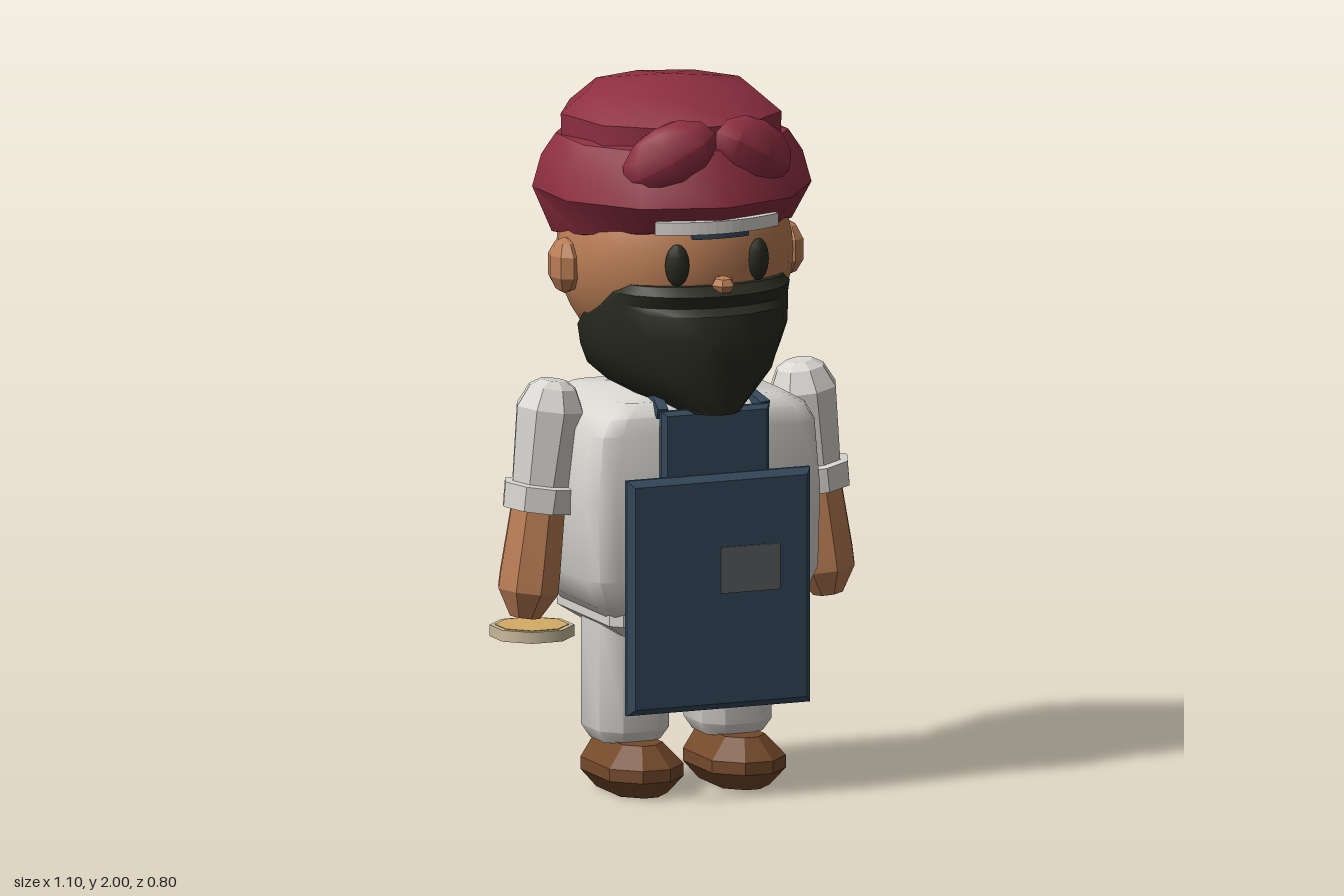
import * as THREE from 'three';
import { toCreasedNormals } from 'three/addons/utils/BufferGeometryUtils.js';

const mat = (name, color) => {
  const m = new THREE.MeshStandardMaterial({ color });
  m.name = name;
  return m;
};

// Closed skin over a stack of rings, ordered bottom to top
function loft(rings, crease = 0.8) {
  const n = rings[0].length, pos = [];
  const tri = (...ps) => ps.forEach((p) => pos.push(...p));
  const mid = (r) => [0, 1, 2].map((k) => r.reduce((s, p) => s + p[k], 0) / n);
  const top = rings[rings.length - 1], c0 = mid(rings[0]), c1 = mid(top);
  for (let i = 0; i < n; i++) {
    const k = (i + 1) % n;
    tri(c0, rings[0][i], rings[0][k]);
    tri(c1, top[k], top[i]);
    for (let j = 0; j + 1 < rings.length; j++) {
      const lo = rings[j], hi = rings[j + 1];
      tri(lo[i], hi[i], hi[k]);
      tri(lo[i], hi[k], lo[k]);
    }
  }
  const g = new THREE.BufferGeometry();
  g.setAttribute('position', new THREE.Float32BufferAttribute(pos, 3));
  return toCreasedNormals(g, crease);
}

// Rectangle with rounded corners at height y
function roundRect(y, hx, hz, cz, r, steps = 2) {
  const pts = [];
  [[1, 1], [-1, 1], [-1, -1], [1, -1]].forEach(([sx, sz], q) => {
    for (let s = 0; s <= steps; s++) {
      const a = (q + s / steps) * Math.PI / 2;
      pts.push([sx * (hx - r) + r * Math.cos(a), y, cz + sz * (hz - r) + r * Math.sin(a)]);
    }
  });
  return pts;
}

// Turned shape from [radius, y] pairs, bottom to top
const turned = (pts, sides, crease = 0.7) => toCreasedNormals(
  new THREE.LatheGeometry(pts.map(([r, y]) => new THREE.Vector2(r, y)), sides), crease);

// Upright slab with chamfered edges
function slab(w, h, d, b) {
  const s = new THREE.Shape();
  const x = w / 2 - b, y = h / 2 - b;
  s.moveTo(-x, -y).lineTo(x, -y).lineTo(x, y).lineTo(-x, y).closePath();
  return new THREE.ExtrudeGeometry(s, { depth: d - 2 * b, bevelEnabled: true, bevelThickness: b, bevelSize: b, bevelSegments: 1 })
    .translate(0, 0, b - d / 2);
}

// Flat curved strip across the brow
function arcBand(r0, r1, half, h) {
  const s = new THREE.Shape();
  s.absarc(0, 0, r1, -Math.PI / 2 - half, -Math.PI / 2 + half, false);
  s.absarc(0, 0, r0, -Math.PI / 2 + half, -Math.PI / 2 - half, true);
  return new THREE.ExtrudeGeometry(s, { depth: h, bevelEnabled: false, curveSegments: 8 }).rotateX(-Math.PI / 2);
}

export function createModel() {
  const white = mat('white cloth', 0xd8d6d1), red = mat('red cloth', 0x8e2f40);
  const skin = mat('skin', 0xba7d55), brown = mat('shoe leather', 0x74492b);
  const dark = mat('beard black', 0x292b20), navy = mat('apron blue', 0x364a5d);
  const grey = mat('pocket grey', 0x5f6265), cream = mat('crust cream', 0xcdbd9f);
  const gold = mat('baked gold', 0xd4ab64);

  const model = new THREE.Group();
  const body = new THREE.Group();
  body.name = 'figure';
  body.position.x = 0.008;
  model.add(body);
  const add = (name, geo, material, x = 0, y = 0, z = 0, parent = body) => {
    const m = new THREE.Mesh(geo, material);
    m.name = name;
    m.position.set(x, y, z);
    parent.add(m);
    return m;
  };

  // Torso and hips
  add('torso', loft([
    roundRect(0.51, 0.27, 0.2, 0.02, 0.05), roundRect(0.55, 0.315, 0.23, 0.02, 0.06),
    roundRect(0.63, 0.35, 0.25, 0.02, 0.07), roundRect(0.85, 0.356, 0.252, 0.02, 0.07),
    roundRect(1.04, 0.34, 0.25, 0.02, 0.07), roundRect(1.09, 0.31, 0.24, 0.02, 0.06),
    roundRect(1.125, 0.25, 0.2, 0.02, 0.05)]), white);
  add('hips', loft([
    roundRect(0.455, 0.22, 0.17, 0.015, 0.03, 1), roundRect(0.495, 0.28, 0.215, 0.015, 0.03, 1),
    roundRect(0.53, 0.28, 0.215, 0.015, 0.03, 1)], 0.4), white);

  // Legs and shoes
  const leg = loft([
    roundRect(0.14, 0.085, 0.09, 0.02, 0.04, 1), roundRect(0.175, 0.105, 0.115, 0.02, 0.05, 1),
    roundRect(0.5, 0.105, 0.115, 0.02, 0.05, 1)], 0.9);
  const shoe = loft([
    roundRect(0, 0.07, 0.135, 0.065, 0.05, 1), roundRect(0.05, 0.112, 0.173, 0.069, 0.07, 1),
    roundRect(0.085, 0.112, 0.173, 0.069, 0.07, 1), roundRect(0.145, 0.06, 0.14, 0.045, 0.04, 1)], 0.5);

  // Arms: sleeve, cuff and forearm share one slanted axis
  const sleeve = turned([[0, -0.24], [0.085, -0.23], [0.1, 0], [0.07, 0.06], [0.038, 0.08], [0, 0.08]], 8, 0.3);
  const cuff = turned([[0, -0.29], [0.105, -0.285], [0.108, -0.215], [0.085, -0.21]], 8, 0.3);
  const forearm = turned([[0, -0.59], [0.045, -0.59], [0.09, -0.515], [0.09, -0.47], [0.08, -0.27]], 8, 0.3);

  for (const [side, s] of [['left', 1], ['right', -1]]) {
    add(side + 'Leg', leg, white, s * 0.155);
    add(side + 'Shoe', shoe, brown, s * 0.155);
    const arm = new THREE.Group();
    arm.name = side + 'Arm';
    arm.position.set(s * 0.382, 1.09, 0.02);
    arm.rotation.z = s * 0.13;
    body.add(arm);
    add(side + 'Sleeve', sleeve, white, 0, 0, 0, arm);
    add(side + 'Cuff', cuff, white, 0, 0, 0, arm);
    add(side + 'Forearm', forearm, skin, 0, 0, 0, arm);

    // Face sides
    const ear = add(side + 'Ear', turned([[0, -0.08], [0.038, -0.065], [0.064, -0.03], [0.064, 0.03], [0.038, 0.065], [0, 0.08]], 8, 0.3),
      skin, s * 0.335, 1.49, 0.015);
    ear.scale.x = 0.7;
    const eye = add(side + 'Eye', new THREE.SphereGeometry(1, 10, 8), dark, s * 0.123, 1.525, 0.312);
    eye.scale.set(0.034, 0.06, 0.022);
    eye.rotation.y = s * 0.36;

    // Cloth knot lobe
    const lobe = add(side + 'KnotLobe', toCreasedNormals(new THREE.SphereGeometry(1, 8, 6), 0.9), red, s * 0.125, 1.82, 0.265);
    lobe.scale.set(0.145, 0.095, 0.075);
    lobe.rotation.set(0, s * 0.25, -s * 0.5);

    // Apron neck strap
    const strap = add(side + 'Strap', new THREE.BoxGeometry(0.03, 0.03, 0.2), navy, s * 0.135, 1.13, 0.19);
    strap.rotation.set(0.3, s * 0.2, 0);
  }

  // Apron
  add('apronSkirt', slab(0.555, 0.665, 0.05, 0.018), navy, 0.002, 0.593, 0.305);
  add('apronBib', slab(0.325, 0.24, 0.04, 0.012), navy, 0, 0.99, 0.287);
  add('pocket', new THREE.BoxGeometry(0.18, 0.13, 0.006), grey, 0.09, 0.655, 0.331);

  // Head
  add('neck', new THREE.CylinderGeometry(0.1, 0.1, 0.26, 8), skin, 0, 1.2, 0.005);
  add('head', new THREE.SphereGeometry(1, 28, 20), skin, 0, 1.51, 0.008).scale.set(0.332, 0.325, 0.322);
  const nose = add('nose', toCreasedNormals(new THREE.SphereGeometry(1, 6, 4), 0.3), skin, 0, 1.468, 0.35);
  nose.scale.set(0.034, 0.026, 0.04);

  // Beard: half-round rows as [y, half width, front z, back z]
  const beardRows = [
    [1.1, 0.09, 0.36, 0.22], [1.115, 0.13, 0.368, 0.1], [1.155, 0.2, 0.375, 0.0], [1.205, 0.255, 0.388, -0.015],
    [1.26, 0.278, 0.393, -0.01], [1.32, 0.295, 0.402, 0.01], [1.385, 0.288, 0.388, 0.065],
    [1.405, 0.285, 0.362, 0.1], [1.44, 0.268, 0.378, 0.16], [1.465, 0.235, 0.345, 0.21]];
  add('beard', loft(beardRows.map(([y, rx, zf, zb]) => Array.from({ length: 13 }, (_, i) => {
    const t = i / 12 * Math.PI;
    return [rx * Math.cos(t), y, zb + (zf - zb) * Math.sin(t)];
  })), 0.5), dark);

  // Head wrap: wide lower roll with a tilted rim, and a crown on top
  const roll = new THREE.LatheGeometry([[0.29, 1.565], [0.335, 1.575], [0.39, 1.69], [0.365, 1.78], [0.325, 1.84], [0.2, 1.87], [0, 1.88]]
    .map(([r, y]) => new THREE.Vector2(r, y)), 10, Math.PI);
  const p = roll.attributes.position;
  for (let i = 0; i < p.count; i++) {
    if (p.getY(i) < 1.6) p.setY(i, p.getY(i) + 0.13 * p.getZ(i));
  }
  add('headWrapRoll', toCreasedNormals(roll, 0.68), red, 0, 0, -0.012);
  const crown = turned([[0.31, 1.8], [0.312, 1.9], [0.23, 1.968], [0, 2]], 9, 0.72);
  add('headWrapCrown', crown.rotateY(Math.PI), red, 0, 0, -0.025);
  add('browBand', arcBand(0.31, 0.358, 0.55, 0.036), white, 0, 1.614, 0);
  add('browTrim', arcBand(0.31, 0.345, 0.25, 0.02), navy, 0, 1.598, 0);

  // Round flat bread under the right hand
  const bread = new THREE.Group();
  bread.name = 'flatBread';
  bread.position.set(-0.45, 0.471, 0.05);
  body.add(bread);
  add('crust', new THREE.CylinderGeometry(0.118, 0.118, 0.032, 8).rotateY(Math.PI / 8), cream, 0, 0, 0, bread).material = cream;
  add('breadTop', new THREE.CylinderGeometry(0.103, 0.103, 0.004, 8).rotateY(Math.PI / 8), gold, 0, 0.016, 0, bread);
  return model;
}
